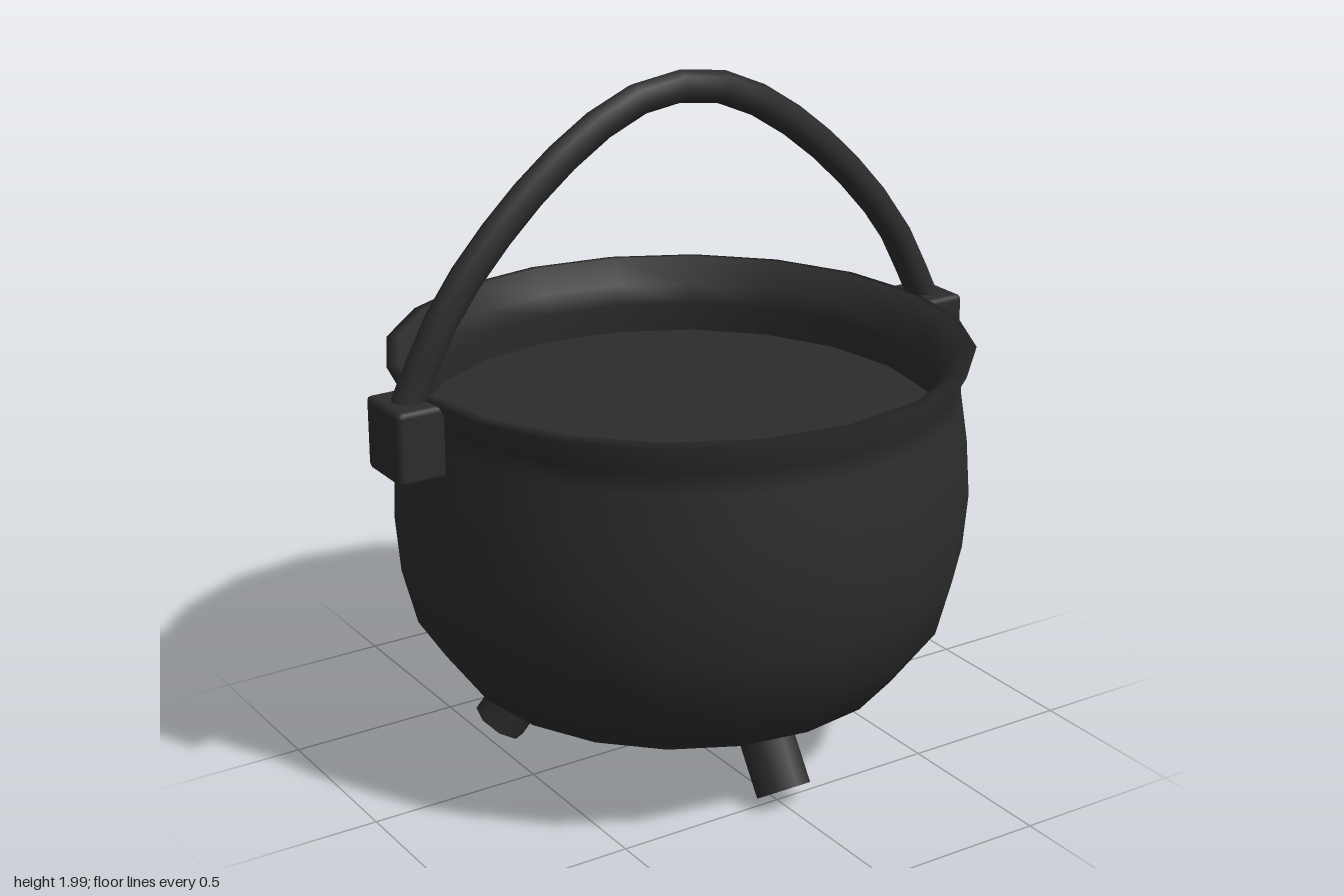
import * as THREE from 'three';
import { RoundedBoxGeometry } from 'three/addons/geometries/RoundedBoxGeometry.js';

export function createModel() {
  const group = new THREE.Group();
  group.name = 'cauldron';
  const iron = new THREE.MeshStandardMaterial({ color: 0x2c2c2c });
  iron.name = 'blackIron';

  const add = (name, geometry, parent = group) => {
    const mesh = new THREE.Mesh(geometry, iron);
    mesh.name = name;
    parent.add(mesh);
    return mesh;
  };

  // Round pot: outer wall from the base up, over the flared rim, then down the inner wall
  const profile = [
    [0, 0.15], [0.27, 0.155], [0.46, 0.19], [0.64, 0.285], [0.765, 0.455],
    [0.807, 0.62], [0.82, 0.78], [0.808, 0.95], [0.788, 1.08], [0.782, 1.14],
    [0.825, 1.225], [0.79, 1.23], [0.735, 1.16], [0.725, 1.1], [0.74, 0.98],
  ].map(([r, y]) => new THREE.Vector2(r, y));
  add('pot', new THREE.LatheGeometry(profile, 20));

  // Flat filling inside the pot
  const filling = add('filling', new THREE.CircleGeometry(0.74, 20));
  filling.rotation.x = -Math.PI / 2;
  filling.rotation.z = -Math.PI / 2;
  filling.position.y = 1.01;

  // Three splayed feet, the first at the front
  for (let i = 0; i < 3; i++) {
    const pivot = new THREE.Group();
    pivot.name = 'foot' + (i + 1);
    pivot.rotation.y = (i * Math.PI * 2) / 3;
    const foot = add('footPeg', new THREE.CylinderGeometry(0.08, 0.08, 0.24, 8), pivot);
    foot.position.set(0, 0.155, 0.465);
    foot.rotation.x = -0.585;
    group.add(pivot);
  }

  // Lugs that hold the handle
  for (const side of [-1, 1]) {
    const lug = add(side > 0 ? 'leftLug' : 'rightLug', new RoundedBoxGeometry(0.14, 0.205, 0.19, 1, 0.015));
    lug.position.set(side * 0.86, 1.122, 0);
  }

  // Arched carrying handle
  const half = [[0.87, 1.18], [0.725, 1.455], [0.515, 1.69], [0.31, 1.85], [0.15, 1.93]];
  const path = [
    ...half.map(([x, y]) => new THREE.Vector3(-x, y, 0)),
    new THREE.Vector3(0, 1.953, 0),
    ...half.slice().reverse().map(([x, y]) => new THREE.Vector3(x, y, 0)),
  ];
  add('handle', new THREE.TubeGeometry(new THREE.CatmullRomCurve3(path), 18, 0.046, 8));

  return group;
}
